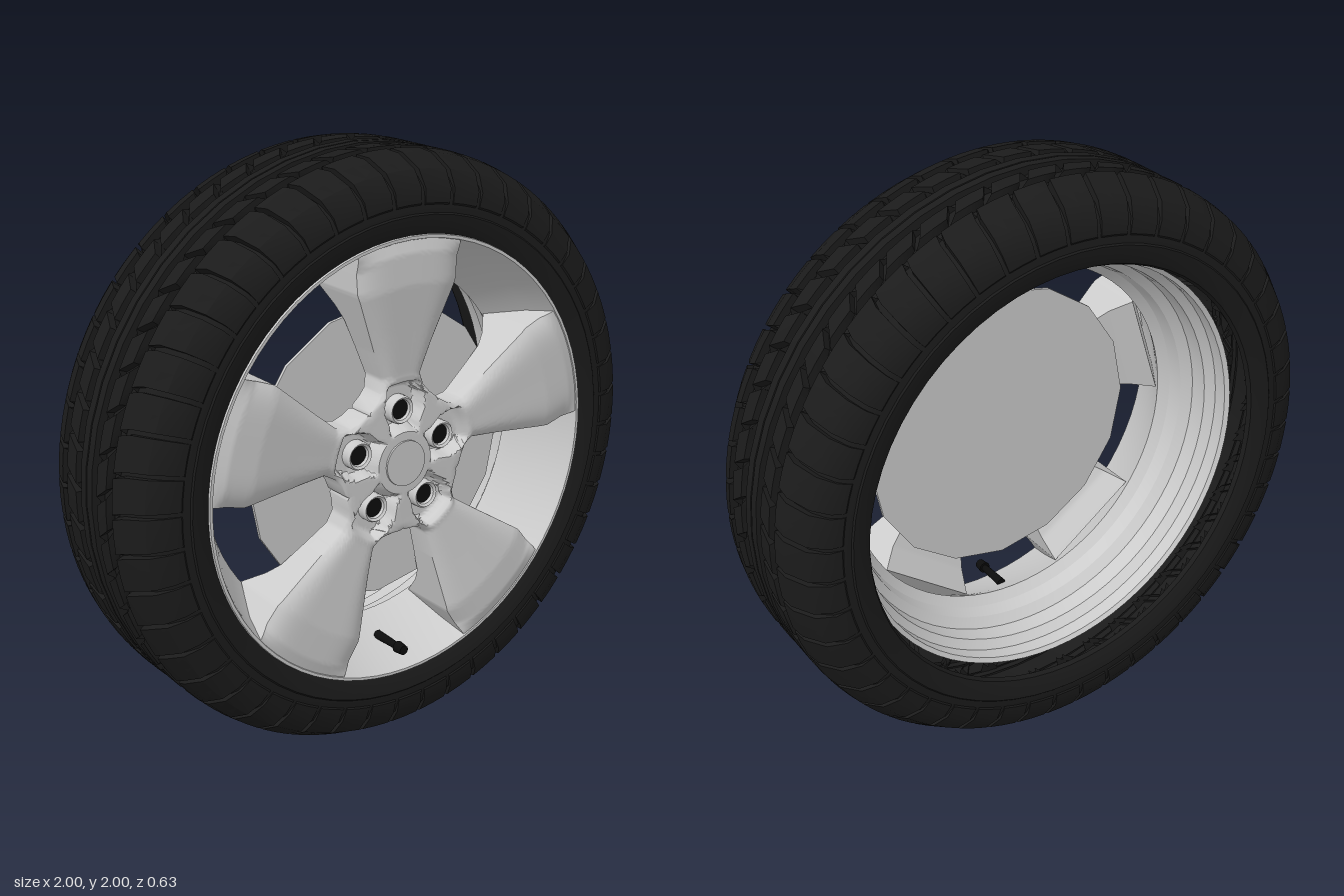
import * as THREE from 'three';
import { mergeGeometries, toCreasedNormals } from 'three/addons/utils/BufferGeometryUtils.js';

const smooth = THREE.MathUtils.smoothstep;
const DEG = Math.PI / 180;
const SPOKES = 5;
const alloy = new THREE.MeshStandardMaterial({ color: 0xcccccc, side: THREE.DoubleSide });
const rubber = new THREE.MeshStandardMaterial({ color: 0x1b1b1b, side: THREE.DoubleSide });
const black = new THREE.MeshStandardMaterial({ color: 0x0c0c0c });

// Linear interpolation in a small table of [position, value]
function lookup(table, t) {
  for (let i = 1; i < table.length; i++) {
    const [a, va] = table[i - 1], [b, vb] = table[i];
    if (t <= b) return va + (vb - va) * Math.max(0, (t - a) / (b - a));
  }
  return table[table.length - 1][1];
}

// Skin over rows of points given as [radius, angle, z]
function skin(rows, closed) {
  const n = rows[0].length, pos = [], index = [];
  for (const row of rows)
    for (const [r, a, z] of row) pos.push(r * Math.cos(a), r * Math.sin(a), z);
  for (let j = 0; j < rows.length - 1; j++)
    for (let k = 0; k < (closed ? n : n - 1); k++) {
      const k2 = (k + 1) % n, a = j * n + k, b = j * n + k2;
      index.push(a, b, a + n, b, b + n, a + n);
    }
  const g = new THREE.BufferGeometry();
  g.setAttribute('position', new THREE.Float32BufferAttribute(pos, 3));
  g.setIndex(index);
  return g;
}

// Lathe around the z axis from [radius, z] points
function ring(points, segments = 64, crease = 0.5) {
  const g = new THREE.LatheGeometry(points.map(p => new THREE.Vector2(p[0], p[1])), segments);
  g.rotateX(Math.PI / 2);
  return toCreasedNormals(g, crease);
}

function add(parent, name, geometry, material) {
  const m = new THREE.Mesh(geometry, material);
  m.name = name;
  parent.add(m);
  return m;
}

// Ring of tread blocks; path runs outward in [z, radius], skew shifts the angle along it
function treadBlocks(path, count, gap, skew, side) {
  const step = 2 * Math.PI / count, blocks = [];
  for (let i = 0; i < count; i++) {
    const rows = path.map(([z, r], j) => {
      const shift = skew(j / (path.length - 1));
      const a0 = (i + gap / 2) * step + shift, a1 = (i + 1 - gap / 2) * step + shift;
      const row = [];
      row.push([r - 0.04, a0, z * 0.9 * side]);
      for (let k = 0; k <= 2; k++) row.push([r, a0 + (a1 - a0) * k / 2, z * side]);
      row.push([r - 0.04, a1, z * 0.9 * side]);
      return side > 0 ? row : row.reverse();
    });
    blocks.push(skin(rows, false));
  }
  return toCreasedNormals(mergeGeometries(blocks), 0.5);
}

function createTyre() {
  const tyre = new THREE.Group();
  tyre.name = 'tyre';
  // Carcass: sidewalls and groove floor
  const half = [[0.742, 0.28], [0.75, 0.295], [0.775, 0.306], [0.815, 0.312], [0.82, 0.307],
    [0.86, 0.305], [0.9, 0.292], [0.935, 0.258], [0.963, 0.2], [0.972, 0.15]];
  const back = half.map(([r, z]) => [r, -z]);
  add(tyre, 'carcass', ring([...back, ...half.slice().reverse()]), rubber);
  add(tyre, 'centreRib', ring([[0.965, -0.037], [1, -0.035], [1, -0.003], [0.993, 0],
    [1, 0.003], [1, 0.035], [0.965, 0.037]], 48, 0.3), rubber);
  for (const side of [1, -1]) {
    const label = side > 0 ? 'front' : 'back';
    add(tyre, label + 'MiddleBlocks', treadBlocks(
      [[0.065, 0.965], [0.067, 1], [0.125, 1], [0.127, 0.965]],
      48, 0.22, t => -0.12 * t, side), rubber);
    add(tyre, label + 'ShoulderBlocks', treadBlocks(
      [[0.155, 0.955], [0.158, 0.998], [0.2, 0.99], [0.27, 0.95], [0.304, 0.895], [0.309, 0.85], [0.3, 0.835]],
      48, 0.13, t => -0.05 * Math.sin(t * 2.2), side), rubber);
  }
  return tyre;
}

// Spoke tables by radius: window half width, front height, back height
const WINDOW = [[0.237, 0], [0.245, 0.045], [0.26, 0.075], [0.3, 0.108], [0.4, 0.135],
  [0.5, 0.16], [0.62, 0.19], [0.7, 0.235], [0.745, 0.26]];
const FRONT = [[0, 0.285], [0.2, 0.282], [0.3, 0.282], [0.45, 0.298], [0.6, 0.315], [0.7, 0.312], [0.745, 0.297]];
const BACK = [[0, 0.2], [0.3, 0.17], [0.5, 0.155], [0.55, 0.13], [0.62, 0.07], [0.7, 0.2], [0.745, 0.285]];

// One fifth of the wheel face: hub wedge widening into a spoke, with a sunken bolt pocket
function spokeGeometry(direction) {
  const rows = [], columns = 32, steps = 96;
  for (let j = 0; j <= steps; j++) {
    const r = 0.04 + (0.745 - 0.04) * j / steps;
    const half = 36 * DEG - Math.asin(lookup(WINDOW, r) / r);
    const row = [];
    for (let k = 0; k <= columns; k++) {
      const u = 1 - 2 * k / columns, x = Math.abs(r * Math.sin(u * half));
      const edge = 0.028 * Math.abs(u) ** 5 * smooth(r, 0.21, 0.3) * (1 - smooth(r, 0.68, 0.745));
      const width = 0.056 + 0.02 * smooth(r, 0.13, 0.2) - 0.012 * smooth(r, 0.22, 0.27);
      const pocket = 0.05 * (1 - smooth(x, width - 0.012, width + 0.004))
        * smooth(r, 0.105, 0.13) * (1 - smooth(r, 0.255, 0.28));
      row.push([r, direction + u * half, lookup(FRONT, r) - edge - pocket]);
    }
    const z = lookup(BACK, r);
    row.push([r, direction - half, z], [r, direction + half, z]);
    rows.push(row);
  }
  return toCreasedNormals(skin(rows, true), 0.75);
}

function createRim() {
  const rim = new THREE.Group();
  rim.name = 'rim';
  // Stepped barrel, open at the back
  add(rim, 'barrel', ring([[0.735, -0.2], [0.72, -0.19], [0.72, -0.14], [0.695, -0.11], [0.69, -0.05],
    [0.66, -0.02], [0.65, 0.03], [0.62, 0.06], [0.635, 0.09], [0.7, 0.2], [0.732, 0.285],
    [0.74, 0.303], [0.75, 0.303], [0.755, 0.28]], 72, 0.35), alloy);
  const cap = add(rim, 'hubCap', new THREE.CylinderGeometry(0.077, 0.08, 0.05, 40), alloy);
  cap.rotation.x = Math.PI / 2;
  cap.position.z = 0.265;

  const sleeve = ring([[0.048, 0.2], [0.048, 0.26], [0.043, 0.268], [0.035, 0.262], [0.032, 0.23]], 24);
  const bolt = new THREE.CylinderGeometry(0.033, 0.033, 0.05, 24).rotateX(Math.PI / 2);
  for (let i = 0; i < SPOKES; i++) {
    const a = (90 + 72 * i) * DEG;
    add(rim, 'spoke', spokeGeometry(a), alloy);
    const x = 0.175 * Math.cos(a), y = 0.175 * Math.sin(a);
    add(rim, 'boltSleeve', sleeve, alloy).position.set(x, y, 0);
    add(rim, 'bolt', bolt, black).position.set(x, y, 0.226);
  }

  // Plain disc behind the spokes
  add(rim, 'brakeDisc', new THREE.CylinderGeometry(0.51, 0.51, 0.012, 16)
    .rotateX(Math.PI / 2), alloy).position.z = 0.138;

  // Valve in the lowest window
  const valve = new THREE.Group();
  valve.name = 'valve';
  valve.position.set(-0.01, -0.67, 0);
  add(valve, 'valveStem', new THREE.CylinderGeometry(0.012, 0.016, 0.13, 12).rotateX(Math.PI / 2), black)
    .position.set(0, 0, 0.22);
  add(valve, 'valveCap', new THREE.CylinderGeometry(0.017, 0.021, 0.035, 12).rotateX(Math.PI / 2), black)
    .position.set(0, 0, 0.285);
  rim.add(valve);
  return rim;
}

export function createModel() {
  const model = new THREE.Group();
  model.name = 'carWheel';
  const wheel = new THREE.Group();
  wheel.name = 'wheel';
  wheel.position.y = 1;
  wheel.add(createTyre(), createRim());
  model.add(wheel);
  return model;
}
